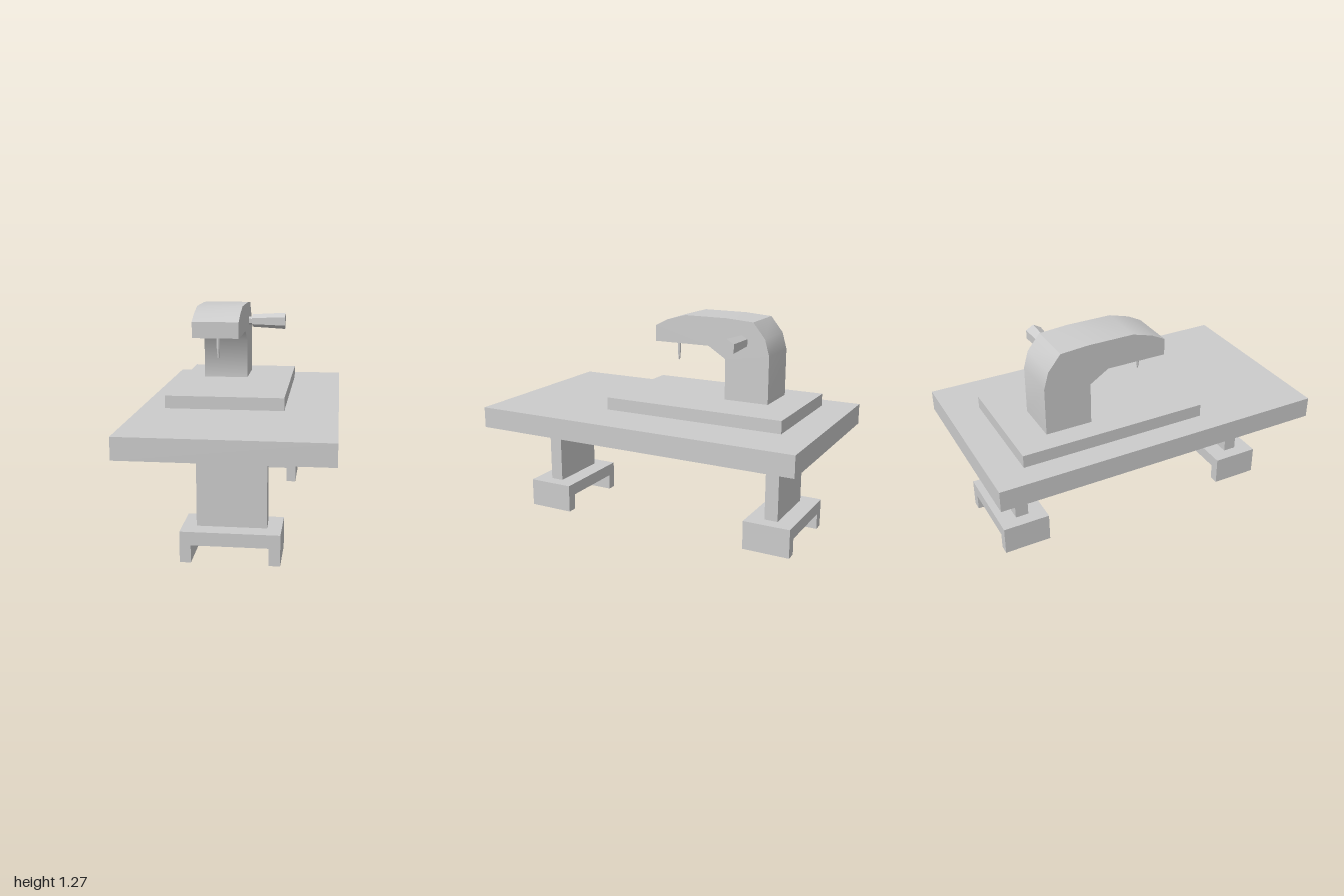
import * as THREE from 'three';
import { toCreasedNormals } from 'three/addons/utils/BufferGeometryUtils.js';

export function createModel() {
  const model = new THREE.Group();
  model.name = 'sewingTable';
  const smooth = new THREE.MeshStandardMaterial({ color: 0xcccccc });
  const flat = new THREE.MeshStandardMaterial({ color: 0xcccccc, flatShading: true });

  const add = (name, geometry, material = flat) => {
    const mesh = new THREE.Mesh(geometry, material);
    mesh.name = name;
    model.add(mesh);
    return mesh;
  };
  // Box given by its limits on each axis
  const box = (name, [x0, x1], [y0, y1], [z0, z1]) =>
    add(name, new THREE.BoxGeometry(x1 - x0, y1 - y0, z1 - z0)
      .translate((x0 + x1) / 2, (y0 + y1) / 2, (z0 + z1) / 2));
  const outline = (points) => new THREE.Shape(points.map(([x, y]) => new THREE.Vector2(x, y)));

  // Table top and machine base plate
  box('tableTop', [-0.577, 0.577], [0.585, 0.71], [-1, 1]);
  box('basePlate', [-0.433, 0.265], [0.71, 0.785], [-0.805, 0.31]);

  // Legs on notched feet, front and back
  const footShape = outline([
    [-0.247, 0], [-0.187, 0], [-0.187, 0.097], [0.228, 0.097],
    [0.228, 0], [0.289, 0], [0.289, 0.172], [-0.247, 0.172],
  ]);
  for (const [side, legZ, footZ] of [['front', 0.746, 0.742], ['back', -0.742, -0.744]]) {
    box(side + 'Leg', [-0.17, 0.21], [0.172, 0.585], [legZ - 0.04, legZ + 0.04]);
    add(side + 'Foot', new THREE.ExtrudeGeometry(footShape, { depth: 0.285, bevelEnabled: false })
      .translate(0, 0, footZ - 0.1425));
  }

  // Machine arm: side profile (z, y) extruded across x
  const corner = [-0.335, 1.03];
  const armShape = outline([
    [0.132, 1.1], [0.132, 1.197], [0.05, 1.238], [-0.07, 1.272], [-0.34, 1.272], [-0.507, 1.26],
    [-0.582, 1.168], [-0.61, 1.07], [-0.61, 0.785], [-0.335, 0.785], corner, [-0.225, 1.1],
  ]);
  const arm = toCreasedNormals(
    new THREE.ExtrudeGeometry(armShape, { depth: 0.28, bevelEnabled: false })
      .rotateY(-Math.PI / 2).translate(-0.02, 0, 0), 0.7);
  // Blend the shading across the inner corner of the throat
  const { position, normal } = arm.attributes;
  const blend = new THREE.Vector3(0, -0.843, 1.537).normalize();
  for (let i = 0; i < position.count; i++) {
    const atCorner = Math.hypot(position.getZ(i) - corner[0], position.getY(i) - corner[1]) < 1e-4;
    if (atCorner && Math.abs(normal.getX(i)) < 0.5) normal.setXYZ(i, blend.x, blend.y, blend.z);
  }
  add('arm', arm, smooth);

  // Needle under the head
  const needleProfile = [[0, 0], [0.005, 0], [0.01, 0.055], [0.011, 0.13]];
  add('needle', new THREE.LatheGeometry(needleProfile.map(([r, y]) => new THREE.Vector2(r, y)), 8))
    .position.set(-0.155, 0.97, 0.04);

  // Hexagonal hand crank: short hub and flared grip along x
  const hex = (name, r0, r1, x0, x1) =>
    add(name, new THREE.CylinderGeometry(r1, r0, x1 - x0, 6)
      .rotateY(Math.PI / 2).rotateZ(-Math.PI / 2).translate((x0 + x1) / 2, 1.144, -0.447));
  hex('crankHub', 0.027, 0.027, -0.025, 0.003);
  hex('crankGrip', 0.041, 0.053, 0.003, 0.217);

  return model;
}
